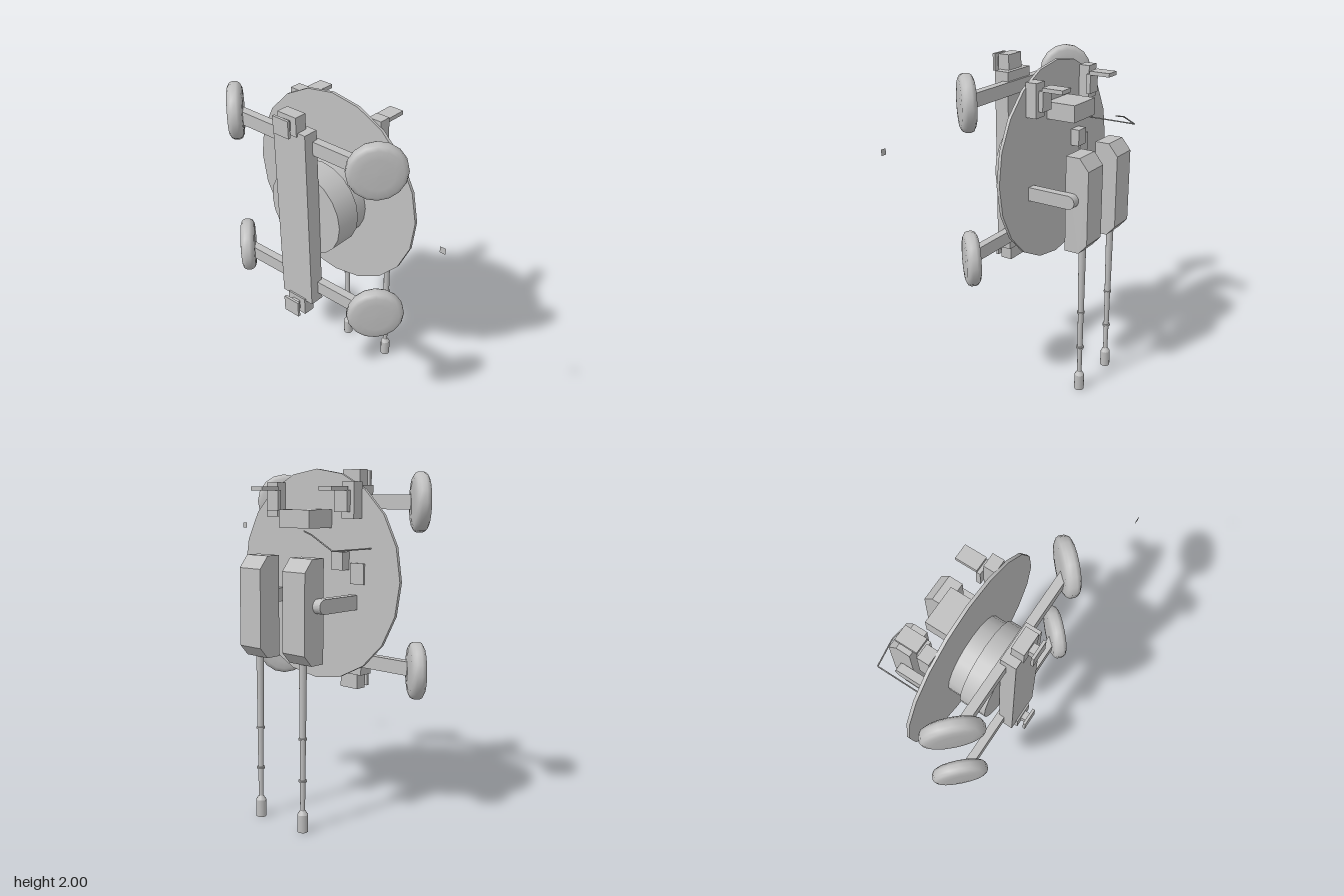
import * as THREE from 'three';

const CX = -0.2; // symmetry plane of the machine

export function createModel() {
  const root = new THREE.Group();
  root.name = 'twinGunTurret';
  const grey = new THREE.MeshStandardMaterial({ color: 0xc0c0c0, side: THREE.DoubleSide });
  grey.name = 'plain grey';

  const add = (name, geo) => {
    const m = new THREE.Mesh(geo, grey);
    m.name = name;
    root.add(m);
    return m;
  };
  // box from its limits on each axis
  const box = (name, x0, x1, y0, y1, z0, z1) => {
    const m = add(name, new THREE.BoxGeometry(x1 - x0, y1 - y0, z1 - z0));
    m.position.set((x0 + x1) / 2, (y0 + y1) / 2, (z0 + z1) / 2);
    return m;
  };
  // the same box with x measured outward from the symmetry plane, on both sides
  const pair = (name, a, b, ...yz) => {
    box(name + 'Left', CX + a, CX + b, ...yz);
    box(name + 'Right', CX - b, CX - a, ...yz);
  };
  // cylinder lying along z
  const drum = (name, r, y, z0, z1) => {
    const m = add(name, new THREE.CylinderGeometry(r, r, z1 - z0, 20).rotateX(Math.PI / 2));
    m.position.set(CX, y, (z0 + z1) / 2);
  };

  // turntable and its bearing
  drum('turntableDisc', 0.592, 1.405, -0.033, -0.015);
  drum('bearingUpper', 0.238, 1.353, -0.02, 0.075);
  drum('bearingLower', 0.26, 1.35, 0.075, 0.232);

  // carriage: spine, crossbars and end couplings
  box('spine', -0.315, -0.085, 0.795, 1.91, 0.235, 0.325);
  for (const y of [0.89, 1.815]) box('crossbar', -0.7, 0.3, y - 0.04, y + 0.04, 0.22, 0.27);
  for (const y of [0.755, 1.945]) {
    box('couplingBlock', CX - 0.065, CX + 0.065, y - 0.055, y + 0.055, 0.262, 0.335);
    box('couplingStem', CX - 0.026, CX + 0.026, y - 0.028, y + 0.028, 0.33, 0.37);
    box('couplingPlate', CX - 0.055, CX + 0.055, y - 0.05, y + 0.05, 0.367, 0.383);
  }

  // rounded wheels, splayed at 45 degrees
  const wheelProfile = [
    [0, -0.046], [0.09, -0.045], [0.135, -0.041], [0.155, -0.03], [0.163, -0.014],
    [0.163, 0.014], [0.155, 0.03], [0.135, 0.041], [0.09, 0.045], [0, 0.046],
  ].map(([r, h]) => new THREE.Vector2(r, h));
  for (const s of [-1, 1]) {
    for (const y of [0.888, 1.815]) {
      const wheel = add('wheel', new THREE.LatheGeometry(wheelProfile, 16).rotateX(Math.PI / 2));
      wheel.position.set(CX + s * 0.519, y, 0.228);
      wheel.rotation.y = s * Math.PI / 4;
    }
  }

  // gun housings: chamfered side profile (z, y) extruded across x
  const side = new THREE.Shape([
    [-0.245, 0.955], [-0.245, 1.525], [-0.332, 1.525], [-0.39, 1.455], [-0.39, 1.015], [-0.337, 0.955],
  ].map(([z, y]) => new THREE.Vector2(-z, y)));
  // support arms with a rounded end
  const arm = new THREE.Shape();
  arm.moveTo(0.02, 1.235);
  arm.lineTo(0.293, 1.235);
  arm.absarc(0.293, 1.275, 0.04, -Math.PI / 2, Math.PI / 2, false);
  arm.lineTo(0.02, 1.315);
  const extrudeX = (name, shape, x, w) => {
    const geo = new THREE.ExtrudeGeometry(shape, { depth: w, bevelEnabled: false, curveSegments: 8 });
    add(name, geo.translate(0, 0, -w / 2).rotateY(Math.PI / 2)).position.x = x;
  };
  // tapering barrel with two collars and a muzzle
  const barrelProfile = [
    [0, 0], [0.03, 0], [0.03, 0.1], [0.014, 0.125], [0.015, 0.29], [0.024, 0.29], [0.024, 0.3],
    [0.016, 0.3], [0.017, 0.53], [0.024, 0.53], [0.024, 0.54], [0.018, 0.54], [0.022, 0.96],
  ];
  for (const s of [-1, 1]) {
    const x = CX + s * 0.168;
    extrudeX('gunHousing', side, x, 0.165);
    extrudeX('supportArm', arm, CX + s * 0.279, 0.052);
    // each span is its own lathe so the rings stay crisp
    for (let i = 0; i < barrelProfile.length - 1; i++) {
      const span = [barrelProfile[i], barrelProfile[i + 1]].map(([r, y]) => new THREE.Vector2(r, y));
      add('barrel', new THREE.LatheGeometry(span, 12)).position.set(x, 0, -0.316);
    }
  }

  // crew seats: mount, back rest and flat seat
  pair('seatMount', 0.245, 0.33, 1.73, 1.925, -0.1, -0.03);
  pair('seatBack', 0.215, 0.305, 1.765, 1.88, -0.126, -0.1);
  pair('seatPan', 0.215, 0.305, 1.877, 1.9, -0.25, -0.12);

  // equipment on the turntable
  box('equipmentChest', -0.315, -0.085, 1.675, 1.775, -0.215, -0.033);
  box('controlBox', -0.445, -0.36, 1.45, 1.55, -0.088, -0.033);
  box('controlPlate', -0.555, -0.46, 1.375, 1.49, -0.042, -0.033);

  // bent sight rod
  const rod = [[-0.595, 1.573, -0.03], [-0.595, 1.573, -0.338], [-0.45, 1.65, -0.338], [-0.38, 1.668, -0.322]]
    .map((p) => new THREE.Vector3(...p));
  for (let i = 0; i < 3; i++) {
    const line = new THREE.LineCurve3(rod[i], rod[i + 1]);
    add('sightRod', new THREE.TubeGeometry(line, 1, 0.004, 6));
  }

  // small detached marker plate
  add('markerPlate', new THREE.PlaneGeometry(0.034, 0.034)).position.set(0.838, 1.648, 0.37);

  return root;
}
